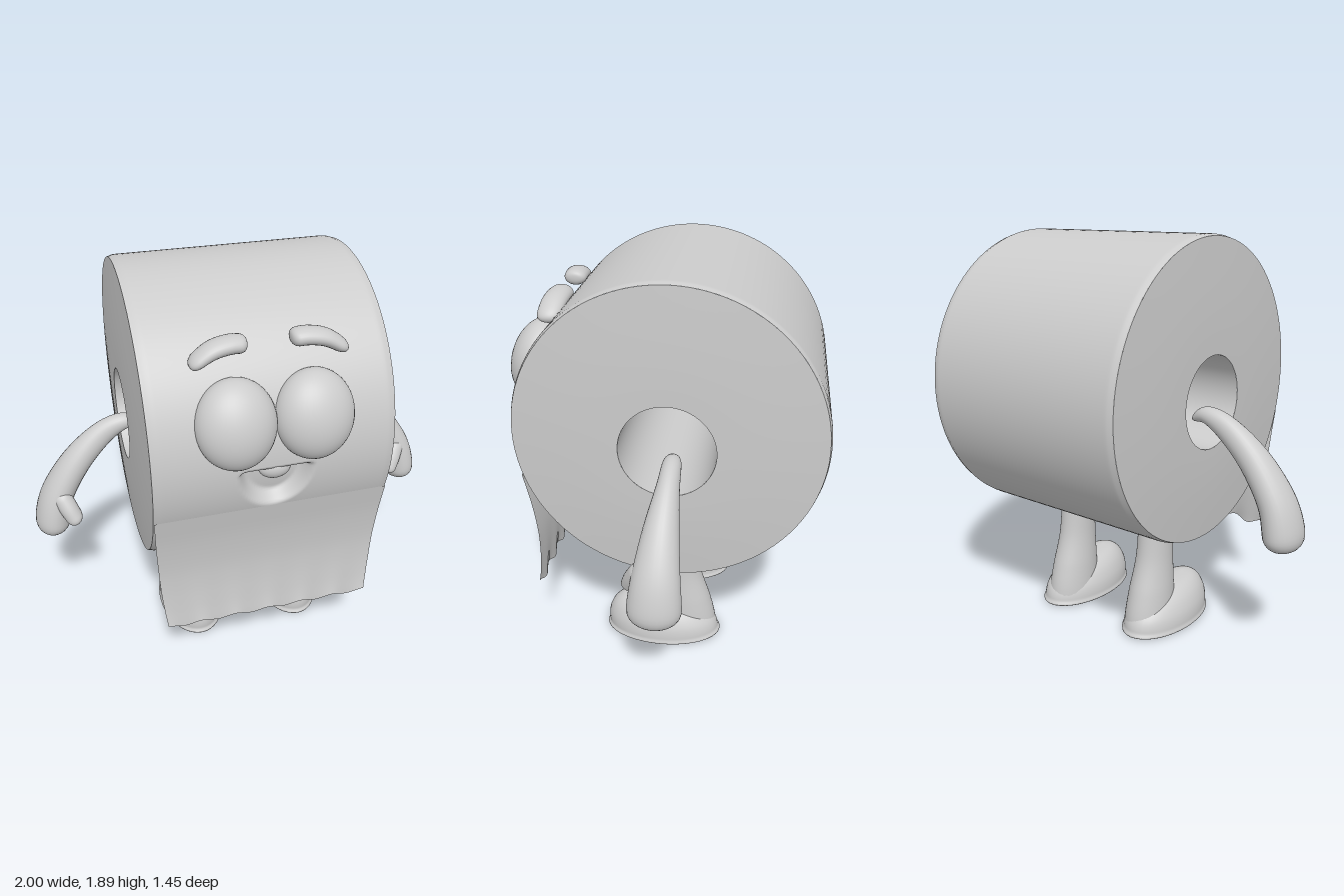
import * as THREE from 'three';
import { mergeVertices } from 'three/addons/utils/BufferGeometryUtils.js';
import { ParametricGeometry } from 'three/addons/geometries/ParametricGeometry.js';

const MAT = new THREE.MeshStandardMaterial({ color: 0xcccccc });
const THIN = new THREE.MeshStandardMaterial({ color: 0xcccccc, side: THREE.DoubleSide });
const TAU = Math.PI * 2;
const { smoothstep, clamp } = THREE.MathUtils;

// Smooth interpolation through rows of numbers, v in 0..1
function spline(rows, v) {
  const n = rows.length - 1;
  const i = Math.min(Math.floor(v * n), n - 1);
  const t = v * n - i;
  const at = (k) => rows[clamp(k, 0, n)];
  return rows[0].map((_, c) => {
    const p0 = at(i - 1)[c], p1 = at(i)[c], p2 = at(i + 1)[c], p3 = at(i + 2)[c];
    const m1 = (p2 - p0) / 2, m2 = (p3 - p1) / 2;
    return p1 + t * (m1 + t * (3 * (p2 - p1) - 2 * m1 - m2 + t * (2 * (p1 - p2) + m1 + m2)));
  });
}

// Smooth grid surface from fn(u, v) -> [x, y, z]; side -1 mirrors it in x
function surface(name, fn, nu, nv, side = 1, material = MAT) {
  let geo = new ParametricGeometry((u, v, target) => {
    const [x, y, z] = fn(side < 0 ? 1 - u : u, v);
    target.set(side * x, y, z);
  }, nu, nv);
  geo.deleteAttribute('normal');
  geo.deleteAttribute('uv');
  geo = mergeVertices(geo, 1e-5);
  geo.computeVertexNormals();
  const mesh = new THREE.Mesh(geo, material);
  mesh.name = name;
  return mesh;
}

// Round-ended limb, rows of [x, y, z, radius in the xy plane, radius in z]
function limb(name, rows, side, cap = 0.14) {
  return surface(name, (u, v) => {
    const s = (1 - Math.cos(Math.PI * v)) / 2;
    const [x, y, z, ra, rb] = spline(rows, s);
    const a = spline(rows, Math.max(0, s - 0.01)), b = spline(rows, Math.min(1, s + 0.01));
    const tx = b[0] - a[0], ty = b[1] - a[1], len = Math.hypot(tx, ty);
    const e = Math.min(1, s / cap, (1 - s) / cap);
    const round = Math.sqrt(Math.max(0, 1 - (1 - e) ** 2));
    const c = Math.cos(u * TAU) * ra * round;
    return [x - (ty / len) * c, y + (tx / len) * c, z + Math.sin(u * TAU) * rb * round];
  }, 28, 48, side);
}

// Stack of oval sections around x = cx, rows of [y, front z, back z, half width]
function stack(name, rows, cx, side) {
  return surface(name, (u, v) => {
    const [y, zf, zb, w] = spline(rows, v);
    return [cx + w * Math.cos(u * TAU), Math.max(0, y), (zf + zb) / 2 - ((zf - zb) / 2) * Math.sin(u * TAU)];
  }, 40, 40, side);
}

function ellipsoid(name, radii, position, tilt = 0) {
  const mesh = new THREE.Mesh(new THREE.SphereGeometry(1, 40, 28), MAT);
  mesh.name = name;
  mesh.scale.set(...radii);
  mesh.position.set(...position);
  mesh.rotation.x = tilt;
  return mesh;
}

const R = 0.685, HOLE = 0.212, CY = 1.21, CZ = -0.04, HALF = 0.52;

// Depth of the smiling D-shaped mouth pressed into the front
function mouthDepth(x, y) {
  const q = 1 - Math.hypot(x / 0.168, (1.21 - y) / 0.21);
  return 0.065 * smoothstep(q, 0, 0.3) * (1 - smoothstep(y, 1.19, 1.212));
}

function makeRoll() {
  const roll = new THREE.Group();
  roll.name = 'roll';

  // Outer wall, sampled more finely around the mouth
  roll.add(surface('rollWall', (u, v) => {
    const t = TAU * (u - 0.5);
    const a = -(t - 0.6 * Math.sin(t)) - 0.15;
    const x = HALF * (2 * v - 1);
    const r = R - 0.008 * smoothstep(Math.abs(x), HALF - 0.03, HALF);
    const y = CY + r * Math.sin(a), z = CZ + r * Math.cos(a);
    return [x, y, z - (z > 0 ? mouthDepth(x, y) : 0)];
  }, 200, 90));

  // Gently domed ends, with the hole a little below centre
  for (const side of [1, -1]) {
    roll.add(surface('rollEnd', (u, v) => {
      const r = R - 0.008 + (HOLE - R + 0.008) * v;
      return [HALF + 0.02 * Math.sin(v * Math.PI / 2), CY - 0.04 * v + r * Math.sin(-u * TAU), CZ + r * Math.cos(u * TAU)];
    }, 96, 12, side));
  }

  // Open core tunnel
  roll.add(surface('core', (u, v) => [
    (HALF + 0.02) * (1 - 2 * v), CY - 0.04 + HOLE * Math.sin(-u * TAU), CZ + HOLE * Math.cos(u * TAU),
  ], 64, 4));
  return roll;
}

// Loose hanging sheet with a torn, scalloped lower edge, rows of [y, z, half width]
function makeSheet() {
  const rows = [
    [1.0, 0.612, 0.518], [0.85, 0.583, 0.513], [0.7, 0.566, 0.506],
    [0.58, 0.565, 0.5], [0.46, 0.574, 0.49], [0.372, 0.586, 0.48],
  ];
  return surface('hangingSheet', (u, v) => {
    const [y, z, w] = spline(rows, 1 - v);
    const s = 2 * u - 1;
    const low = (1 - v) ** 4;
    return [s * w, y + 0.012 * low * Math.cos(s * Math.PI * 6), z + 0.006 * low * Math.cos(s * Math.PI * 6)];
  }, 96, 30, 1, THIN);
}

export function createModel() {
  const model = new THREE.Group();
  model.name = 'paperRollCharacter';
  model.add(makeRoll(), makeSheet());

  // Upper tooth
  model.add(ellipsoid('tooth', [0.07, 0.05, 0.045], [0, 1.195, 0.605]));

  for (const side of [1, -1]) {
    const label = side > 0 ? 'left' : 'right';

    // Face
    model.add(ellipsoid(label + 'Eye', [0.17, 0.19, 0.12], [side * 0.165, 1.42, 0.6], -0.3));
    model.add(limb(label + 'Brow', [
      [0.09, 1.71, 0.485, 0.036, 0.05], [0.16, 1.716, 0.488, 0.037, 0.055],
      [0.24, 1.7, 0.495, 0.035, 0.055], [0.325, 1.648, 0.505, 0.027, 0.05],
    ], side, 0.18));

    // Arm and hand
    const arm = new THREE.Group();
    arm.name = label + 'Arm';
    arm.add(limb('armAndHand', [
      [0.45, 1.085, -0.06, 0.02, 0.02], [0.53, 1.115, -0.062, 0.04, 0.04],
      [0.64, 1.065, -0.06, 0.058, 0.05], [0.77, 0.945, -0.05, 0.07, 0.075],
      [0.875, 0.79, -0.043, 0.078, 0.1], [0.915, 0.66, -0.04, 0.085, 0.115],
      [0.92, 0.57, -0.04, 0.08, 0.11],
    ], side));
    arm.add(limb('thumb', [
      [0.885, 0.83, 0, 0.045, 0.05], [0.845, 0.75, 0.045, 0.045, 0.05], [0.808, 0.67, 0.075, 0.04, 0.048],
    ], side, 0.25));
    model.add(arm);

    // Leg and foot
    const leg = new THREE.Group();
    leg.name = label + 'Leg';
    leg.add(stack('shin', [
      [0.02, 0.06, -0.25, 0.11], [0.1, 0.05, -0.24, 0.105], [0.2, 0.047, -0.215, 0.098],
      [0.37, 0.042, -0.165, 0.083], [0.6, 0.038, -0.14, 0.08],
    ], 0.25, side));
    leg.add(stack('foot', [
      [0, 0.02, 0.02, 0], [0, 0.285, -0.245, 0.148], [0.03, 0.3, -0.26, 0.157],
      [0.09, 0.298, -0.235, 0.148], [0.15, 0.272, -0.16, 0.118], [0.19, 0.225, -0.03, 0.07],
      [0.205, 0.16, 0.16, 0],
    ], 0.263, side));
    model.add(leg);
  }
  return model;
}
